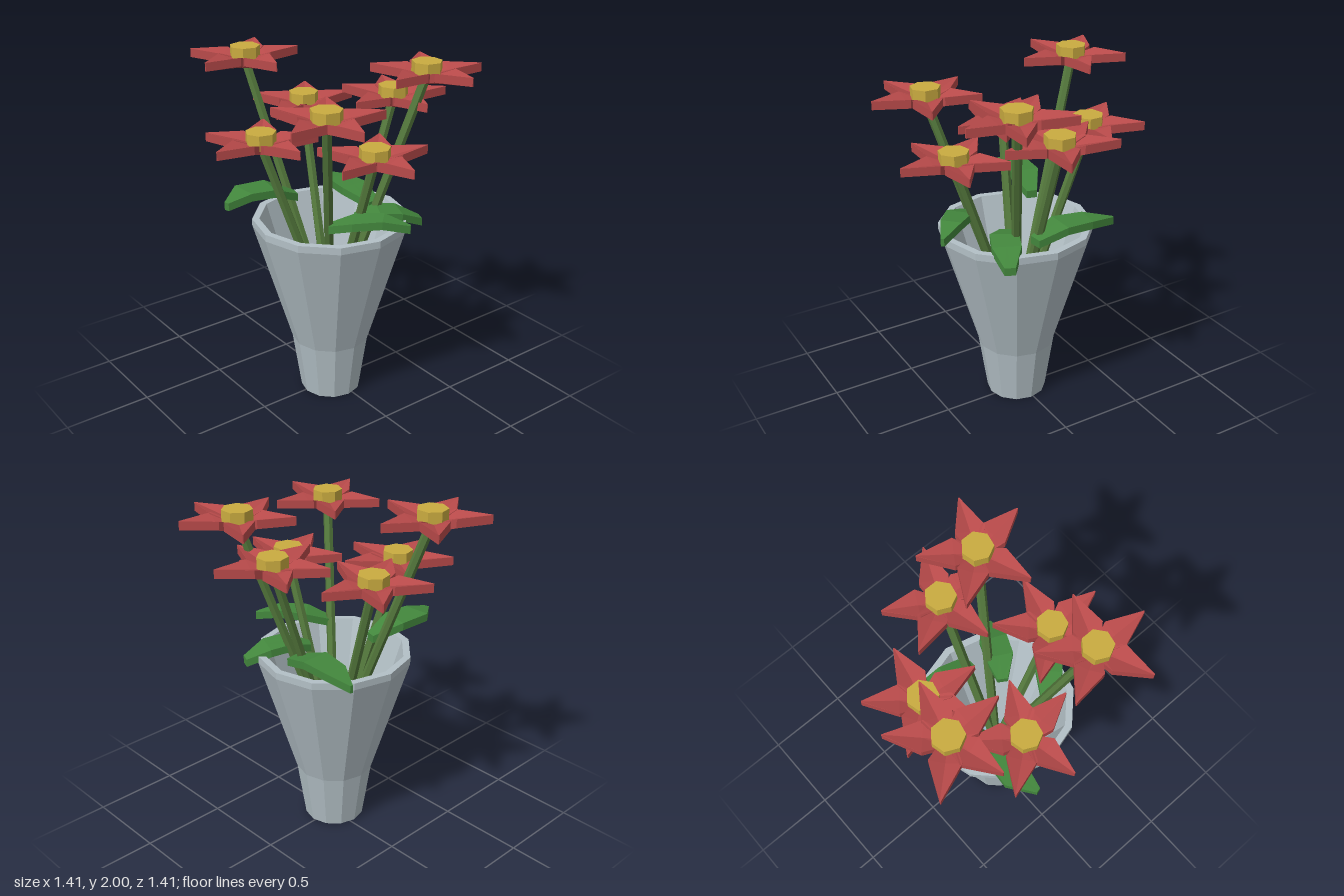
import * as THREE from 'three';

const mat = (name, color) => {
  const m = new THREE.MeshStandardMaterial({ color, flatShading: true });
  m.name = name;
  return m;
};

// Slab lofted along sections [x, y, z, halfWidth, sink]; sink lowers the centre line
function slab(sections, thick) {
  const pts = sections.map(s => new THREE.Vector3(s[0], s[1], s[2]));
  const pos = [], idx = [];
  const n = sections.length;
  sections.forEach(([, , , hw, sink = 0], i) => {
    const dir = pts[Math.min(i + 1, n - 1)].clone().sub(pts[Math.max(i - 1, 0)]).setY(0).normalize();
    const side = new THREE.Vector3(-dir.z, 0, dir.x);
    const ring = [[-hw, 0], [0, -sink], [hw, 0], [hw, -thick], [0, -sink - thick], [-hw, -thick]];
    for (const [w, h] of ring) {
      const p = pts[i].clone().addScaledVector(side, w);
      pos.push(p.x, p.y + h, p.z);
    }
  });
  for (let i = 0; i < n - 1; i++) {
    for (let k = 0; k < 6; k++) {
      const a = i * 6 + k, b = i * 6 + (k + 1) % 6;
      idx.push(a, b, b + 6, a, b + 6, a + 6);
    }
  }
  const e = (n - 1) * 6;
  for (const [a, b, c, d] of [[0, 1, 4, 5], [1, 2, 3, 4]]) {
    idx.push(d, c, b, d, b, a);
    idx.push(e + a, e + b, e + c, e + a, e + c, e + d);
  }
  const g = new THREE.BufferGeometry();
  g.setAttribute('position', new THREE.Float32BufferAttribute(pos, 3));
  g.setIndex(idx);
  g.computeVertexNormals();
  return g;
}

export function createModel() {
  const model = new THREE.Group();
  model.name = 'flowerVase';
  const ceramic = mat('ceramicGrey', 0xb3c0c6);
  const water = mat('waterBlue', 0x93b7c8);
  const stemGreen = mat('stemGreen', 0x557a3d);
  const leafGreen = mat('leafGreen', 0x43873d);
  const red = mat('petalRed', 0xb84a4a);
  const yellow = mat('centreYellow', 0xcaab40);

  const add = (parent, name, geo, material) => {
    const m = new THREE.Mesh(geo, material);
    m.name = name;
    parent.add(m);
    return m;
  };

  // Twelve-sided vase with an upright lip and hollow inside
  const cx = 0.015, cz = 0.03;
  const profile = [[0, 0], [0.175, 0], [0.225, 0.34], [0.44, 1.06], [0.44, 1.1],
    [0.4, 1.1], [0.165, 0.34], [0.15, 0.3], [0, 0.3]].map(p => new THREE.Vector2(...p));
  add(model, 'vase', new THREE.LatheGeometry(profile, 12), ceramic).position.set(cx, 0, cz);

  // Water surface
  const surface = add(model, 'water', new THREE.CircleGeometry(0.17, 12), water);
  surface.rotation.x = -Math.PI / 2;
  surface.position.set(cx, 0.355, cz);

  // Flowers: x, top y, z, petal angles in degrees
  const flowers = [
    [-0.48, 2.0, 0.245, [0, 76, 137, 223, 285]],
    [0.275, 1.968, -0.42, [8, 67, 146, 219, 288]],
    [0.395, 1.878, 0.34, [-2, 70, 144, 208, 291]],
    [0.015, 1.777, -0.41, [-4, 67, 152, 209, 280]],
    [-0.385, 1.703, -0.08, [-8, 79, 143, 216, 296]],
    [-0.115, 1.634, 0.395, [7, 64, 144, 219, 280]],
    [0.395, 1.613, 0.03, [0, 77, 136, 217, 290]],
  ];
  const petalGeo = slab([
    [0.015, -0.07, 0, 0.035, 0.005],
    [0.12, -0.032, 0, 0.08, 0.025],
    [0.31, -0.032, 0, 0.003, 0],
  ], 0.048);
  const centreGeo = new THREE.CylinderGeometry(0.085, 0.085, 0.085, 7);
  const up = new THREE.Vector3(0, 1, 0);

  for (const [x, y, z, angles] of flowers) {
    const flower = new THREE.Group();
    flower.name = 'flower';
    flower.position.set(x, y, z);
    add(flower, 'flowerCentre', centreGeo, yellow).position.y = -0.0425;
    for (const a of angles) {
      add(flower, 'petal', petalGeo, red).rotation.y = THREE.MathUtils.degToRad(a);
    }
    model.add(flower);

    // Straight stem fanning out from the middle of the vase
    const top = new THREE.Vector3(x, y - 0.08, z);
    const out = new THREE.Vector3(x - cx, 0, z - cz).setLength(0.025);
    const base = new THREE.Vector3(cx, 0.48, cz).add(out);
    const axis = top.clone().sub(base);
    const stem = add(model, 'stem', new THREE.CylinderGeometry(0.027, 0.027, axis.length(), 6), stemGreen);
    stem.position.copy(base).addScaledVector(axis, 0.5);
    stem.quaternion.setFromUnitVectors(up, axis.normalize());
  }

  // Arching leaves around the rim
  const leaves = [
    [[0.06, 1.13, -0.25, 0.04], [-0.11, 1.18, -0.235, 0.085], [-0.28, 1.175, -0.25, 0.07], [-0.435, 1.15, -0.28, 0.008]],
    [[-0.16, 1.21, 0.14, 0.03], [-0.2, 1.275, 0.29, 0.085], [-0.22, 1.28, 0.45, 0.08], [-0.18, 1.25, 0.585, 0.015]],
    [[0.23, 1.165, 0.2, 0.03], [0.33, 1.21, 0.11, 0.075], [0.44, 1.225, 0.0, 0.06], [0.545, 1.19, -0.1, 0.01]],
    [[0.13, 1.12, -0.05, 0.03], [0.2, 1.155, -0.16, 0.08], [0.25, 1.14, -0.27, 0.08], [0.3, 1.08, -0.39, 0.03]],
  ];
  for (const sections of leaves) add(model, 'leaf', slab(sections, 0.045), leafGreen);

  return model;
}
